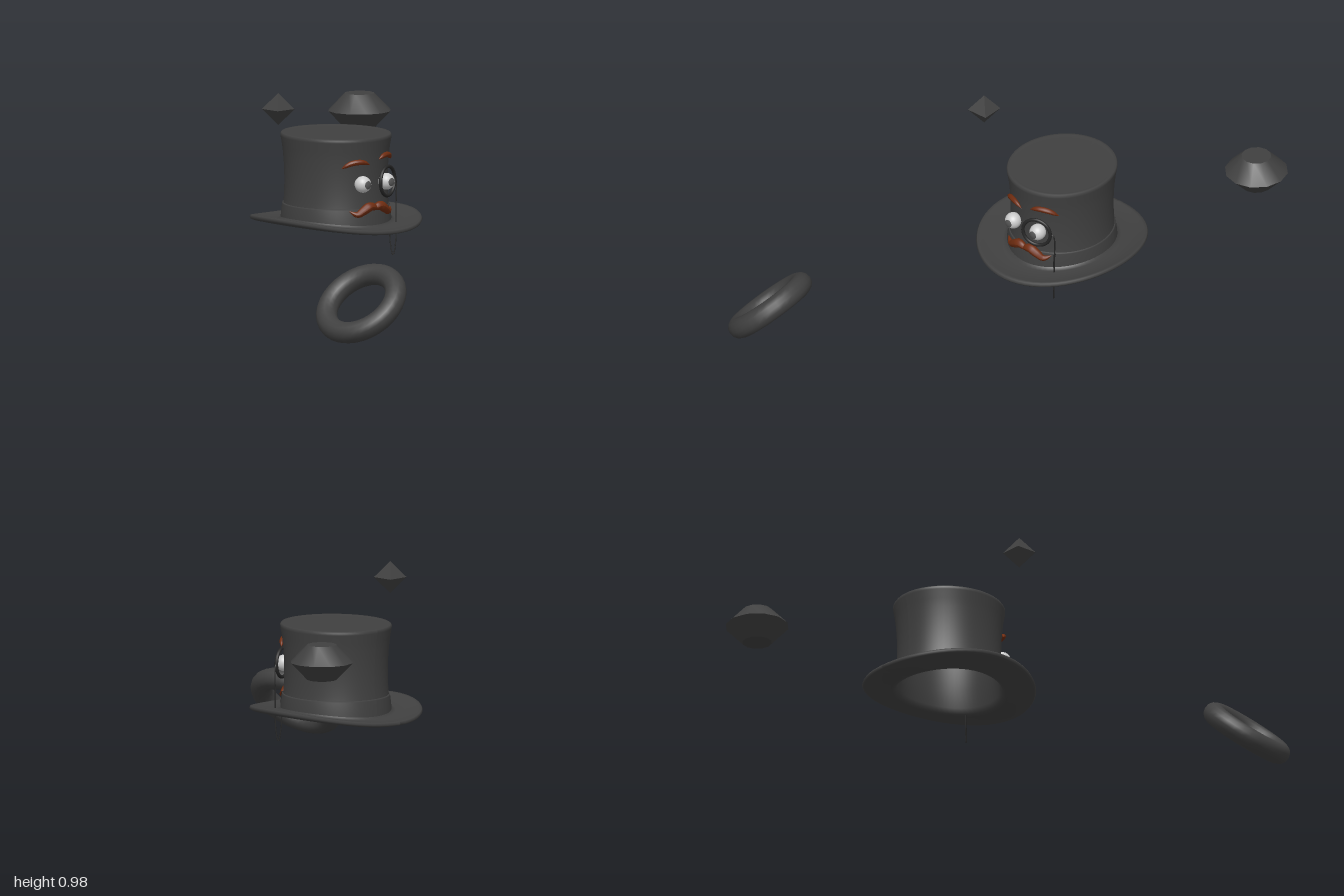
import * as THREE from 'three';
import { toCreasedNormals } from 'three/addons/utils/BufferGeometryUtils.js';

const V = (x, y, z) => new THREE.Vector3(x, y, z);
const paint = (color) => new THREE.MeshStandardMaterial({ color, roughness: 0.8 });

// Hat placement and slightly oval plan
const CX = 0.093, CZ = -0.2875, OVAL = 1.08;

// Outer crown radius, pinched at the waist
const crownR = (y) => 0.226 + 0.017 * Math.pow(Math.abs(y - 0.54) / 0.21, 2);

// Point on the front of the crown, pushed out by d
function onCrown(dx, y, d = 0) {
  const r = crownR(y) + d;
  return V(CX + dx, y, CZ + OVAL * Math.sqrt(r * r - dx * dx));
}

// Raise the sides of everything near the brim
function curlSides(geo) {
  const p = geo.attributes.position;
  for (let i = 0; i < p.count; i++) {
    const x = p.getX(i), y = p.getY(i);
    const w = THREE.MathUtils.clamp((0.43 - y) / 0.06, 0, 1);
    p.setY(i, y + 0.046 * w * Math.pow(x / 0.378, 2));
  }
  geo.computeVertexNormals();
  return geo;
}

// Tube whose radius follows a list of values along the curve
function taperedTube(points, radii, sides = 12) {
  const n = 32, curve = new THREE.CatmullRomCurve3(points);
  const geo = new THREE.TubeGeometry(curve, n, 1, sides);
  const p = geo.attributes.position, v = V(0, 0, 0);
  for (let i = 0; i < p.count; i++) {
    const u = Math.floor(i / (sides + 1)) / n;
    const c = curve.getPointAt(u), t = u * (radii.length - 1);
    const k = Math.min(Math.floor(t), radii.length - 2);
    const r = THREE.MathUtils.lerp(radii[k], radii[k + 1], t - k);
    v.fromBufferAttribute(p, i).sub(c).multiplyScalar(r).add(c);
    p.setXYZ(i, v.x, v.y, v.z);
  }
  geo.computeVertexNormals();
  return geo;
}

export function createModel() {
  const model = new THREE.Group();
  const dark = paint(0x404040), black = paint(0x252525);
  const brown = paint(0x6e2c10), white = paint(0xe8e8e8), iris = paint(0x555555);
  const add = (name, geo, mat, x = 0, y = 0, z = 0) => {
    const m = new THREE.Mesh(geo, mat);
    m.name = name;
    m.position.set(x, y, z);
    model.add(m);
    return m;
  };

  // Hat: hollow crown and brim in one closed profile
  const pts = [[0, 0.742], [0.215, 0.742], [0.225, 0.735]];
  for (let y = 0.7; y > 0.4; y -= 0.05) pts.push([crownR(y) - 0.012, y]);
  pts.push([0.225, 0.36], [0.235, 0.334], [0.25, 0.329], [0.3, 0.328], [0.355, 0.331],
    [0.372, 0.335], [0.378, 0.343], [0.373, 0.353], [0.36, 0.355], [0.345, 0.349],
    [0.3, 0.346], [0.26, 0.35], [0.243, 0.358], [0.236, 0.38]);
  for (let y = 0.42; y < 0.74; y += 0.04) pts.push([crownR(y), y]);
  pts.push([0.243, 0.742], [0.2435, 0.752], [0.239, 0.759], [0.228, 0.759],
    [0.215, 0.756], [0.1, 0.757], [0, 0.757]);
  const profile = pts.map(([r, y]) => new THREE.Vector2(r, y));
  const hat = add('hat', curlSides(new THREE.LatheGeometry(profile, 64, Math.PI)), dark, CX, 0, CZ);
  hat.scale.z = OVAL;

  // Band around the foot of the crown
  const bandPts = [[0.243, 0.35], [0.241, 0.38], [0.236, 0.432], [0.234, 0.437], [0.225, 0.438]];
  const band = add('hatBand', curlSides(new THREE.LatheGeometry(
    bandPts.map(([r, y]) => new THREE.Vector2(r, y)), 64, Math.PI)), dark, CX, 0, CZ);
  band.scale.z = OVAL;

  for (const s of [-1, 1]) {
    const side = s > 0 ? 'left' : 'right';

    // Eye with a pupil cap
    const ex = CX + s * 0.073, ey = 0.553, ez = -0.03;
    add(side + 'Eye', new THREE.SphereGeometry(0.038, 24, 16), white, ex, ey, ez);
    const pupil = add(side + 'Pupil',
      new THREE.SphereGeometry(0.0395, 20, 6, 0, Math.PI * 2, 0, 0.5), iris, ex, ey, ez);
    pupil.rotation.x = Math.PI / 2;

    // Eyebrow, the left one raised
    const lift = s > 0 ? 0.02 : 0;
    const brow = [[0.025, 0.637], [0.065, 0.652], [0.115, 0.648], [0.152, 0.624]]
      .map(([x, y]) => onCrown(s * x, y + lift, 0.008));
    add(side + 'Eyebrow', taperedTube(brow, [0, 0.009, 0.012, 0.013, 0.012, 0.009, 0]), brown);

    // Moustache half with a curled tip
    const whisker = [[-0.012, 0.436], [0.03, 0.447], [0.065, 0.43], [0.095, 0.414], [0.13, 0.432]]
      .map(([x, y]) => onCrown(s * x, y, 0.014));
    add(side + 'Moustache', taperedTube(whisker, [0.008, 0.018, 0.022, 0.02, 0.016, 0.01, 0]), brown);
  }

  // Monocle ring
  const monocle = add('monocle', new THREE.TorusGeometry(0.067, 0.008, 10, 40), black, 0.166, 0.555, -0.022);
  monocle.rotation.y = 0.32;

  // Chain hanging from the monocle in a long loop
  const chain = new THREE.CatmullRomCurve3([
    V(0.232, 0.56, -0.045), V(0.244, 0.55, -0.05), V(0.246, 0.42, -0.052), V(0.244, 0.27, -0.052),
    V(0.235, 0.204, -0.06), V(0.226, 0.27, -0.07), V(0.227, 0.4, -0.072), V(0.229, 0.437, -0.08)]);
  add('monocleChain', new THREE.TubeGeometry(chain, 80, 0.003, 6), black);

  // Floating ring
  const ring = add('floatingRing', new THREE.TorusGeometry(0.174, 0.049, 14, 32), dark, -0.743, 0.17, 0.777);
  ring.quaternion.setFromUnitVectors(V(0, 0, 1), V(-0.68, 0.735, 0.1).normalize());

  // Floating octahedron
  const octa = add('floatingOctahedron', new THREE.OctahedronGeometry(0.074), dark, -0.321, 0.912, -0.228);
  octa.rotation.y = Math.PI / 4;

  // Floating gem: two mirrored truncated cones
  const gemPts = [[0, -0.08], [0.068, -0.08], [0.145, 0], [0.068, 0.08], [0, 0.08]];
  const gem = new THREE.LatheGeometry(gemPts.map(([r, y]) => new THREE.Vector2(r, y)), 12);
  add('floatingGem', toCreasedNormals(gem, 0.6), dark, 0.768, 0.73, -0.855);

  return model;
}
